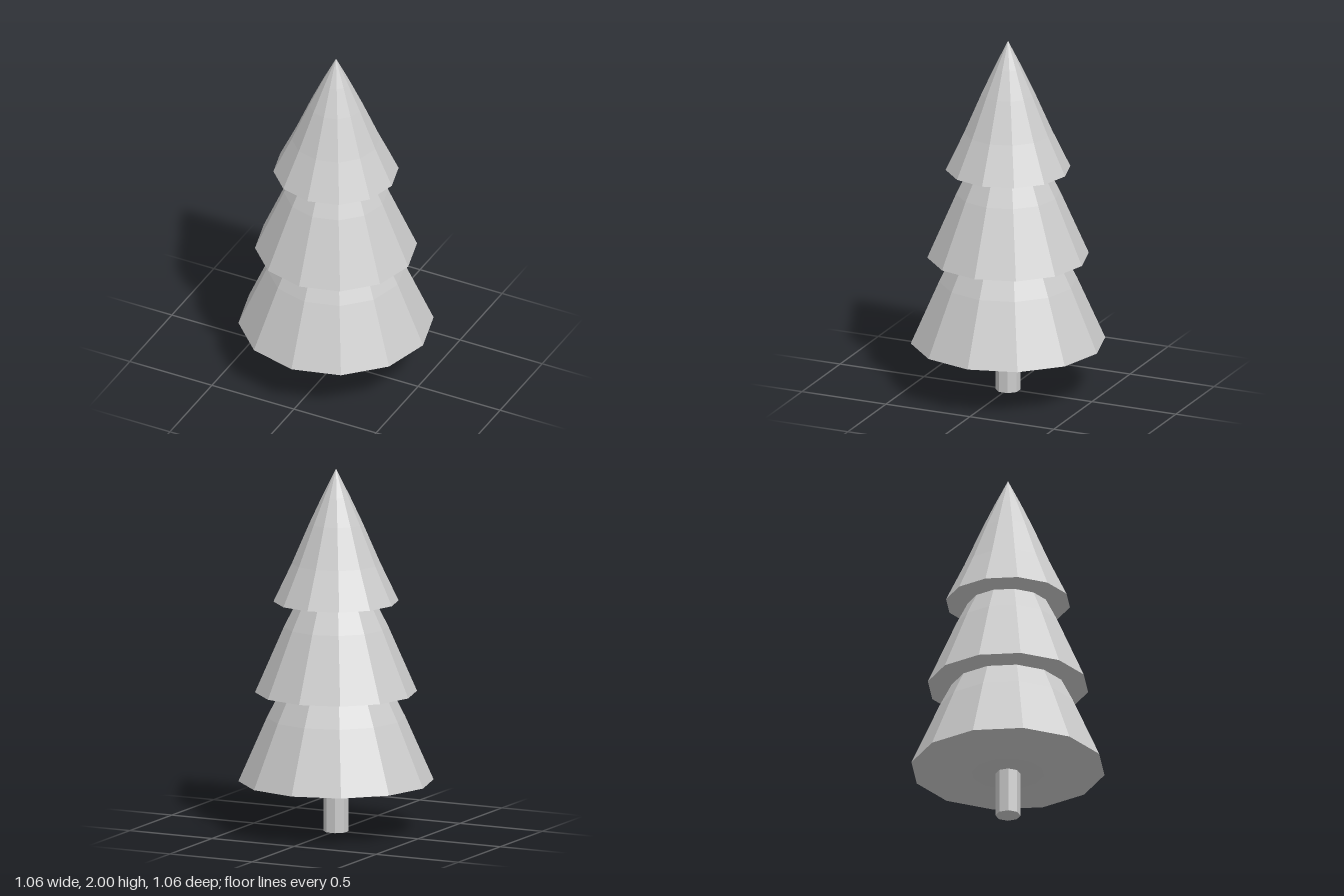
import * as THREE from 'three';

export function createModel() {
  const tree = new THREE.Group();
  tree.name = 'pineTree';
  const material = new THREE.MeshStandardMaterial({ color: 0xcccccc, flatShading: true });

  // Three stacked skirts of branches, turned as one closed 12-sided profile
  const profile = [
    [0, 0.25], [0.2, 0.25], [0.53, 0.28], // bottom skirt
    [0.376, 0.63], [0.31, 0.76],
    [0.44, 0.77], // middle skirt
    [0.283, 1.13], [0.22, 1.255],
    [0.34, 1.27], // top skirt
    [0.24, 1.48], [0.145, 1.7], [0.075, 1.85], [0, 2],
  ].map(([r, y]) => new THREE.Vector2(r, y));
  const foliage = new THREE.Mesh(new THREE.LatheGeometry(profile, 12), material);
  foliage.name = 'foliage';
  tree.add(foliage);

  // Octagonal trunk with flat sides facing the axes
  const trunk = new THREE.Mesh(new THREE.CylinderGeometry(0.068, 0.068, 0.26, 8), material);
  trunk.name = 'trunk';
  trunk.position.y = 0.13;
  trunk.rotation.y = Math.PI / 8;
  tree.add(trunk);

  return tree;
}
